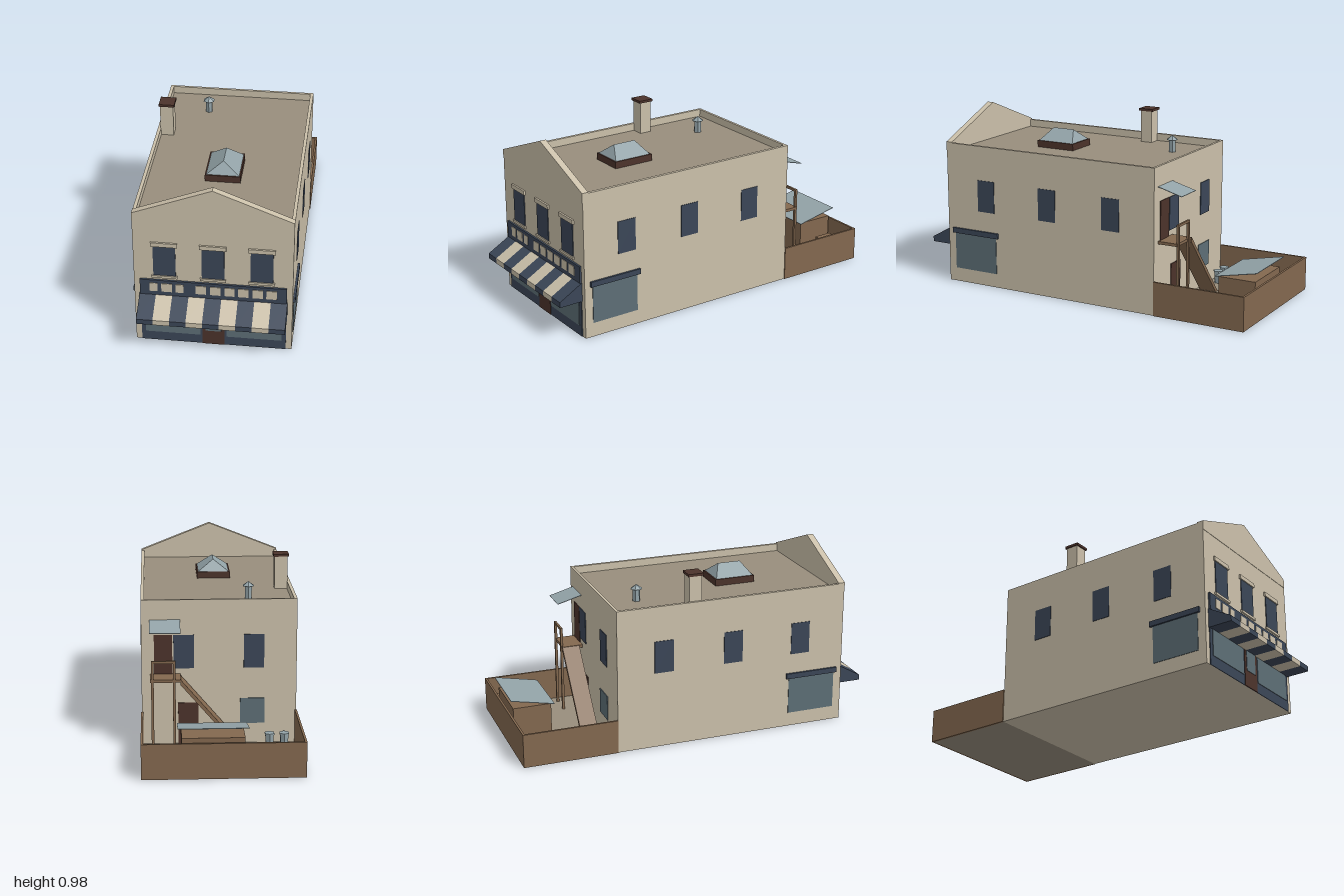
import * as THREE from 'three';

const mat = (name, color) => new THREE.MeshStandardMaterial({ name, color, flatShading: true });
const wall = mat('wallStone', 0xcbc0aa);
const roofMat = mat('roofGrey', 0x988e7d);
const navy = mat('navyPaint', 0x3b4657);
const glass = mat('shopGlass', 0x5d6e76);
const pale = mat('paleMetal', 0x93a3a8);
const darkBrown = mat('darkBrown', 0x4c332b);
const wood = mat('wood', 0x83684f);

export function createModel() {
  const model = new THREE.Group();
  model.name = 'shopBuilding';

  const add = (name, geometry, material) => {
    const mesh = new THREE.Mesh(geometry, material);
    mesh.name = name;
    model.add(mesh);
    return mesh;
  };
  // box given by its limits on each axis
  const box = (name, m, x0, x1, y0, y1, z0, z1) => {
    const b = add(name, new THREE.BoxGeometry(x1 - x0, y1 - y0, z1 - z0), m);
    b.position.set((x0 + x1) / 2, (y0 + y1) / 2, (z0 + z1) / 2);
    return b;
  };
  const polygon = (pts) => new THREE.Shape(pts.map(([x, y]) => new THREE.Vector2(x, y)));
  const extrude = (pts, depth) =>
    new THREE.ExtrudeGeometry(polygon(pts), { depth, bevelEnabled: false });

  const W = 0.418, FRONT = 0.865, BACK = -0.47, ROOF = 0.77, TOP = 0.812;

  // Main block, roof deck and parapets
  box('mainBlock', wall, -W, W, 0, ROOF - 0.005, BACK, FRONT);
  box('roofDeck', roofMat, -W + 0.018, W - 0.018, ROOF - 0.005, ROOF, BACK + 0.015, 0.83);
  for (const s of [-1, 1]) {
    const a = s * W, b = s * (W - 0.018);
    box('sideParapet', wall, Math.min(a, b), Math.max(a, b), ROOF - 0.005, TOP, BACK, 0.83);
  }
  box('backParapet', wall, -W + 0.018, W - 0.018, ROOF - 0.005, TOP, BACK, BACK + 0.015);
  add('frontGable', extrude([[-W, ROOF - 0.005], [W, ROOF - 0.005], [W, 0.817], [0, 0.982], [-W, 0.817]], 0.037), wall)
    .position.z = 0.83;

  // Front upper windows with lintels and sills
  for (const x of [-0.255, 0, 0.255]) {
    box('frontWindow', navy, x - 0.059, x + 0.059, 0.434, 0.619, FRONT, FRONT + 0.004);
    box('windowLintel', wall, x - 0.07, x + 0.07, 0.619, 0.643, FRONT, FRONT + 0.01);
    box('windowSill', wall, x - 0.068, x + 0.068, 0.42, 0.434, FRONT, FRONT + 0.01);
  }

  // Shopfront
  box('shopfrontPanel', navy, -0.387, 0.387, 0, 0.31, FRONT, FRONT + 0.004);
  for (const x of [-0.217, 0.217])
    box('shopWindow', glass, x - 0.147, x + 0.147, 0.057, 0.27, FRONT, FRONT + 0.007);
  box('shopDoor', darkBrown, -0.06, 0.06, 0, 0.27, FRONT, FRONT + 0.007);
  box('shopDoorGlass', glass, -0.042, 0.042, 0.09, 0.25, FRONT + 0.004, FRONT + 0.0095);

  // Fascia board with pale blocks
  box('fascia', navy, -0.387, 0.387, 0.31, 0.405, FRONT, FRONT + 0.011);
  const blocks = [[-0.335, -0.293], [-0.273, -0.216], [-0.197, -0.156], [-0.091, -0.036], [-0.016, 0.039],
    [0.06, 0.114], [0.132, 0.187], [0.208, 0.262], [0.28, 0.335]];
  for (const [x0, x1] of blocks)
    box('fasciaBlock', wall, x0, x1, 0.335, 0.387, FRONT + 0.009, FRONT + 0.014);

  // Striped awning
  const stripe = 0.782 / 9;
  for (let i = 0; i < 9; i++) {
    const g = extrude([[FRONT, 0.205], [1, 0.205], [1, 0.235], [FRONT, 0.312]], stripe);
    g.rotateY(-Math.PI / 2);
    add('awningStripe', g, i % 2 ? wall : navy).position.x = -0.391 + (i + 1) * stripe;
  }

  // Side windows, mirrored
  for (const s of [-1, 1]) {
    const plate = (name, m, t, y0, y1, z0, z1) => {
      const x = s * (W + t);
      box(name, m, Math.min(s * W, x), Math.max(s * W, x), y0, y1, z0, z1);
    };
    for (const z of [0.603, 0.2, -0.203]) plate('sideWindow', navy, 0.003, 0.434, 0.616, z - 0.055, z + 0.055);
    plate('sideShopWindow', glass, 0.003, 0.08, 0.292, 0.54, 0.818);
    plate('sideShopHeader', navy, 0.012, 0.29, 0.32, 0.524, 0.832);
  }

  // Rear windows and doors
  const rear = (name, m, x0, x1, y0, y1) => box(name, m, x0, x1, y0, y1, BACK - 0.004, BACK);
  rear('rearWindow', navy, -0.242, -0.132, 0.434, 0.619);
  rear('rearWindow', navy, 0.136, 0.246, 0.434, 0.619);
  rear('rearLowerWindow', glass, -0.246, -0.114, 0.12, 0.262);
  rear('rearUpperDoor', darkBrown, 0.252, 0.35, 0.4, 0.62);
  rear('rearLowerDoor', darkBrown, 0.112, 0.222, 0.005, 0.24);

  // Thin sloping panel running along x, built from two facing sheets
  const panel = (name, x0, x1, [zA, yA], [zB, yB]) => {
    const len = Math.hypot(zB - zA, yB - yA);
    const m = add(name, new THREE.BoxGeometry(x1 - x0, 0.003, len), pale);
    m.position.set((x0 + x1) / 2, (yA + yB) / 2, (zA + zB) / 2);
    m.rotation.x = -Math.atan2(yB - yA, zB - zA);
  };
  panel('doorCanopy', 0.21, 0.375, [-0.61, 0.664], [BACK, 0.702]);

  // Landing, posts, rail and stair
  box('landing', wood, 0.208, 0.372, 0.388, 0.404, -0.585, BACK);
  for (const x of [0.244, 0.36])
    box('landingPost', wood, x - 0.007, x + 0.007, 0.005, 0.508, -0.592, -0.578);
  box('landingRail', wood, 0.244, 0.36, 0.494, 0.508, -0.591, -0.579);
  add('stair', extrude([[-0.13, 0.005], [-0.105, 0.005], [0.21, 0.375], [0.21, 0.404]], 0.1), wood).position.z = -0.59;

  // Yard floor and enclosing walls
  box('yardFloor', roofMat, -0.415, 0.415, 0, 0.008, -0.99, BACK);
  for (const x of [-0.417, 0.417]) box('yardSideWall', wood, x - 0.006, x + 0.006, 0, 0.19, -1, BACK);
  box('yardBackWall', wood, -0.411, 0.411, 0, 0.19, -1, -0.988);

  // Yard contents
  box('storageBin', wood, -0.11, 0.215, 0.008, 0.21, -0.97, -0.755);
  panel('binLid', -0.13, 0.235, [-0.985, 0.264], [-0.74, 0.213]);
  box('crate', wood, 0.25, 0.355, 0.008, 0.115, -0.95, -0.845);
  for (const x of [-0.35, -0.27]) {
    add('dustbin', new THREE.CylinderGeometry(0.026, 0.022, 0.065, 6), pale).position.set(x, 0.04, -0.525);
    add('dustbinLid', new THREE.CylinderGeometry(0.029, 0.029, 0.008, 6), pale).position.set(x, 0.076, -0.525);
  }

  // Chimney
  box('chimney', wall, -0.403, -0.33, ROOF, 0.953, -0.053, 0.018);
  box('chimneyCap', darkBrown, -0.409, -0.323, 0.953, 0.967, -0.061, 0.026);

  // Roof vent
  add('ventPipe', new THREE.CylinderGeometry(0.021, 0.021, 0.07, 6), pale).position.set(-0.168, 0.805, -0.272);
  add('ventCap', new THREE.ConeGeometry(0.034, 0.025, 6), pale).position.set(-0.168, 0.852, -0.272);

  // Hipped skylight on a curb
  box('skylightCurb', darkBrown, -0.095, 0.095, ROOF, 0.808, 0.225, 0.46);
  const hip = new THREE.BoxGeometry(0.176, 0.064, 0.22);
  const p = hip.attributes.position;
  for (let i = 0; i < p.count; i++)
    if (p.getY(i) > 0) p.setXYZ(i, 0, p.getY(i), Math.sign(p.getZ(i)) * 0.066);
  hip.computeVertexNormals();
  add('skylightGlass', hip, pale).position.set(0, 0.84, 0.343);

  return model;
}
